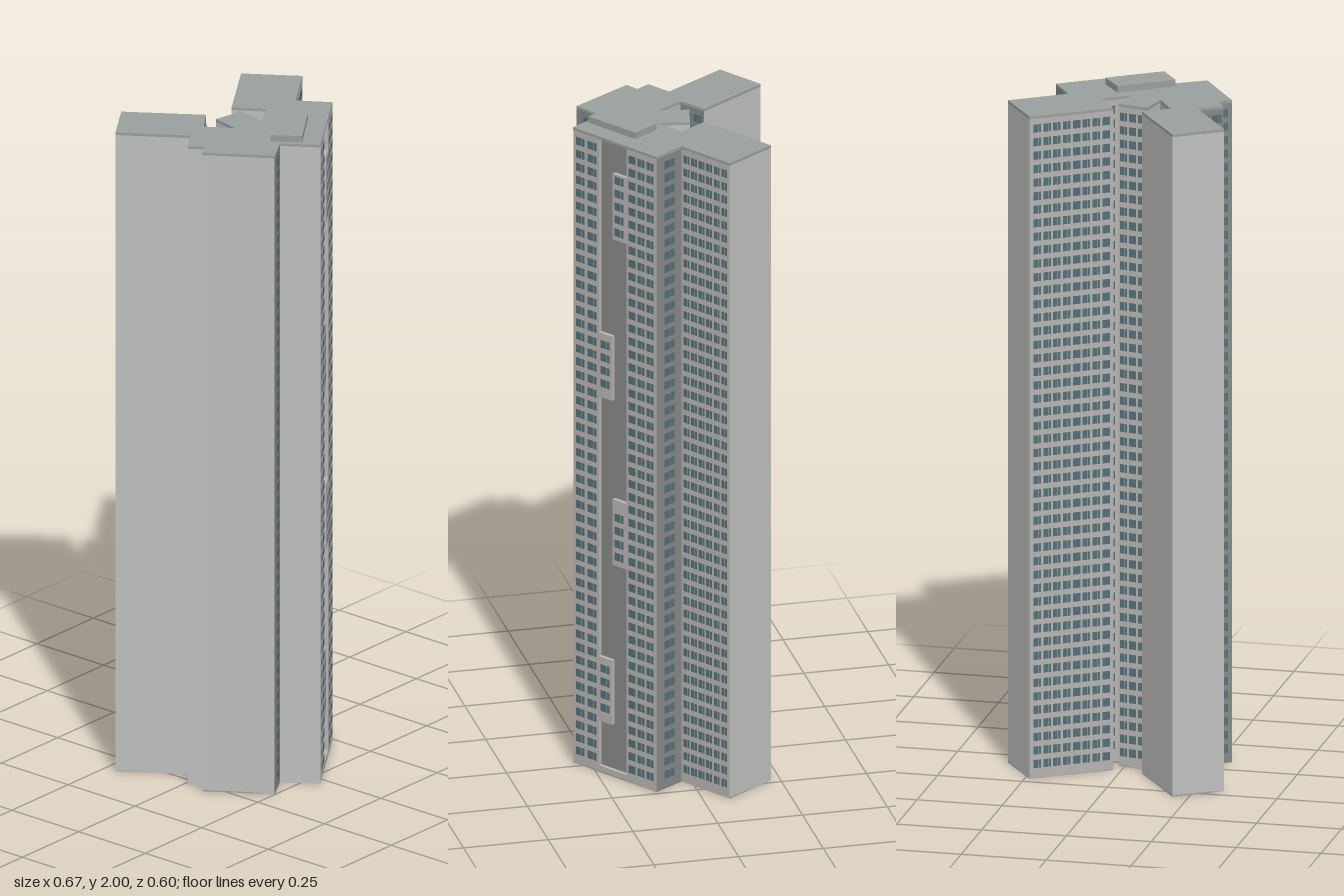
import * as THREE from 'three';
import { mergeGeometries } from 'three/addons/utils/BufferGeometryUtils.js';

const mat = (name, color) => {
  const m = new THREE.MeshStandardMaterial({ color });
  m.name = name;
  return m;
};

const ROOF_Y = 1.972, FLOORS = 48, BASE = 0.02;
const PITCH = (ROOF_Y - 0.012 - BASE) / FLOORS;

// Footprint corners [x, z], each with the kind of wall that runs on to the next corner
// and the number of window columns in that wall.
const PLAN = [
  [-0.205, -0.300, 'plain', 0], [-0.067, -0.099, 'dark', 2],
  [-0.138, -0.047, 'facade', 2], [-0.090, 0.028, 'plain', 0],
  [-0.072, -0.057, 'facade', 3], [0.018, -0.037, 'plain', 0],
  [0.000, 0.054, 'facade', 2], [0.077, 0.003, 'plain', 0],
  [0.023, -0.079, 'facade', 8], [0.235, -0.222, 'plain', 0],
  [0.334, -0.076, 'facade', 6], [0.181, 0.028, 'dark', 1],
  [0.239, 0.117, 'front', 0], [-0.028, 0.297, 'plain', 0],
  [-0.094, 0.201, 'dark', 1], [-0.175, 0.250, 'plain', 0],
  [-0.290, 0.075, 'dark', 1], [-0.254, 0.052, 'plain', 0],
  [-0.280, 0.013, 'dark', 2], [-0.214, -0.032, 'plain', 0],
  [-0.335, -0.212, 'plain', 0],
];
const PENTHOUSE = [[0.047, 0.070], [0.099, 0.144], [-0.049, 0.246], [-0.100, 0.171]];

// Upright prism over a plan outline
function prism(points, y0, y1) {
  const shape = new THREE.Shape(points.map(([x, z]) => new THREE.Vector2(x, -z)));
  const g = new THREE.ExtrudeGeometry(shape, { depth: y1 - y0, bevelEnabled: false });
  return g.rotateX(-Math.PI / 2).translate(0, y0, 0);
}

export function createModel() {
  const group = new THREE.Group();
  const mats = {
    plain: mat('pale concrete', 0xbec0be),
    facade: mat('warm grey cladding', 0xb7b3b1),
    dark: mat('dark grey cladding', 0x858987),
    glass: mat('teal glass', 0x527078),
    roof: mat('grey roofing', 0x98a09e),
  };
  const parts = { plain: [], facade: [], dark: [], glass: [] };

  PLAN.forEach(([px, pz, kind, columns], i) => {
    const [qx, qz] = PLAN[(i + 1) % PLAN.length];
    const dx = qx - px, dz = qz - pz, len = Math.hypot(dx, dz);
    // Wall frame: local x runs left to right seen from outside, local z points outwards
    const frame = new THREE.Matrix4().makeRotationY(Math.atan2(dz, -dx));
    frame.setPosition((px + qx) / 2, 0, (pz + qz) / 2);

    const panel = (list, u0, u1, y0, y1, out = 0) => {
      const g = new THREE.PlaneGeometry((u1 - u0) * len, y1 - y0);
      g.translate(((u0 + u1) / 2 - 0.5) * len, (y0 + y1) / 2, out);
      list.push(g.applyMatrix4(frame));
    };
    const slab = (list, u0, u1, y0, y1, depth) => {
      const g = new THREE.BoxGeometry((u1 - u0) * len, y1 - y0, depth);
      g.translate(((u0 + u1) / 2 - 0.5) * len, (y0 + y1) / 2, -depth / 2);
      list.push(g.applyMatrix4(frame));
    };
    // Grid of windows, each split by a narrow mullion
    const windows = (u0, u1, count, yMin = 0, yMax = 2) => {
      const step = (u1 - u0) / count;
      for (let f = 0; f < FLOORS; f++) {
        const y = BASE + f * PITCH;
        if (y < yMin || y + PITCH > yMax) continue;
        for (let c = 0; c < count; c++) {
          const a = u0 + (c + 0.12) * step, w = step * 0.76;
          panel(parts.glass, a, a + w * 0.6, y + PITCH * 0.28, y + PITCH * 0.88, 0.0015);
          panel(parts.glass, a + w * 0.66, a + w, y + PITCH * 0.28, y + PITCH * 0.88, 0.0015);
        }
      }
    };

    if (kind !== 'front') {
      panel(parts[kind], 0, 1, 0, ROOF_Y);
      if (columns === 1) windows(0.24, 0.76, 1);
      else if (columns) windows(0.03, 0.97, columns);
      return;
    }

    // Main front: two window bays either side of a recessed dark strip
    const depth = 0.012;
    panel(parts.dark, 0, 1, 0, ROOF_Y, -depth);
    slab(parts.facade, 0.003, 0.31, 0, ROOF_Y, depth);
    slab(parts.facade, 0.64, 0.997, 0, ROOF_Y, depth);
    slab(parts.facade, 0.31, 0.64, 0, 0.02, depth);
    windows(0.02, 0.30, 2);
    windows(0.66, 0.98, 3);
    // Window boxes alternating from side to side up the strip
    [[0.31, 0.465, 0.16, 0.36], [0.475, 0.64, 0.66, 0.865],
      [0.31, 0.465, 1.17, 1.37], [0.475, 0.64, 1.675, 1.88]].forEach(([u0, u1, y0, y1]) => {
      slab(parts.facade, u0, u1, y0, y1, depth);
      windows(u0 + 0.01, u1 - 0.01, 1, y0, y1);
    });
  });

  const add = (name, geometry, material) => {
    const mesh = new THREE.Mesh(geometry, material);
    mesh.name = name;
    group.add(mesh);
  };
  add('plainWalls', mergeGeometries(parts.plain), mats.plain);
  add('windowWalls', mergeGeometries(parts.facade), mats.facade);
  add('darkWalls', mergeGeometries(parts.dark), mats.dark);
  add('windows', mergeGeometries(parts.glass), mats.glass);

  // Roof, rooftop plant room and underside
  add('roof', prism(PLAN, ROOF_Y, 1.98), mats.roof);
  add('penthouse', prism(PENTHOUSE, 1.98, 2), mats.roof);
  add('floorSlab', prism(PLAN, 0, 0.004), mats.roof);
  return group;
}
